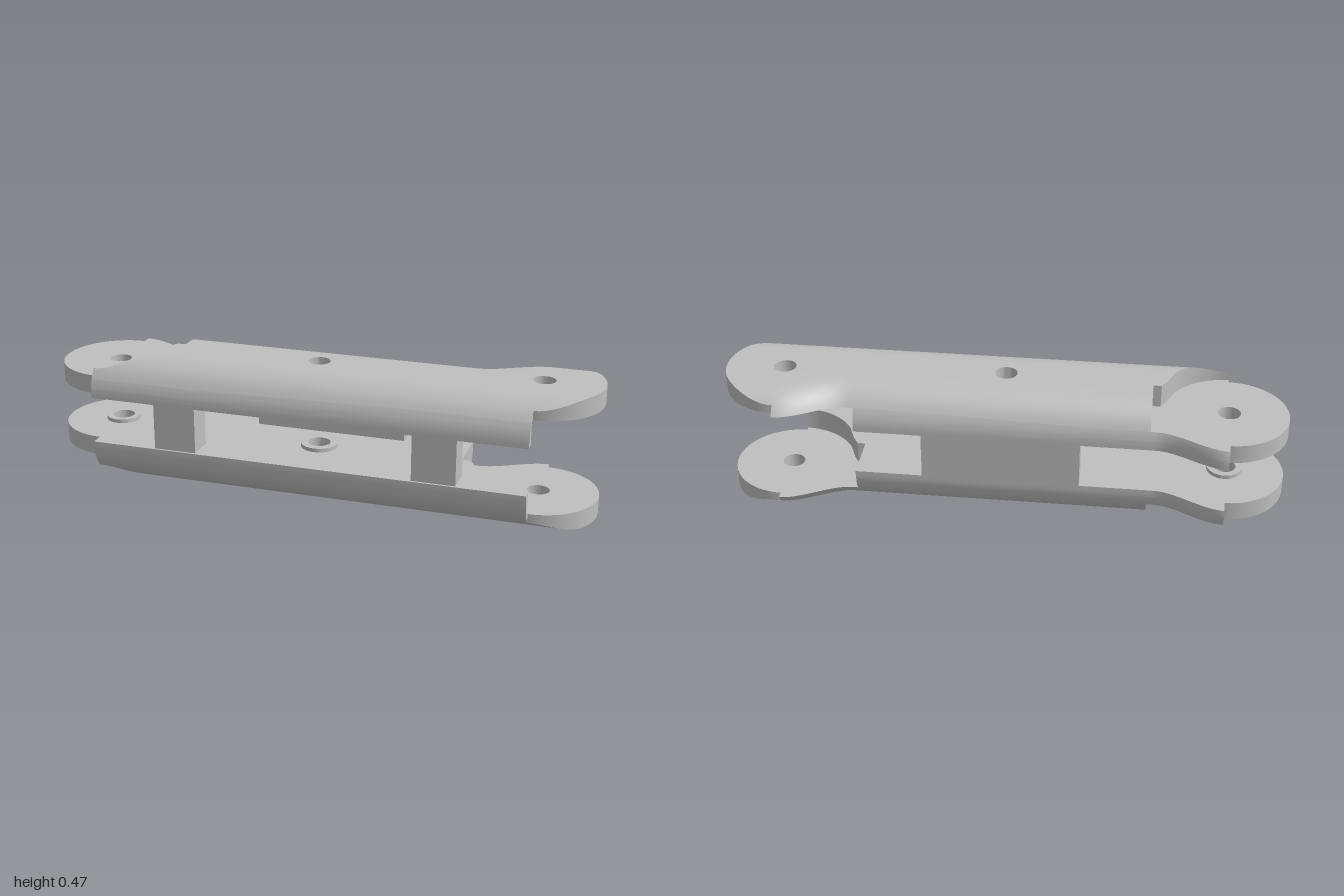
import * as THREE from 'three';
import { mergeGeometries, toCreasedNormals } from 'three/addons/utils/BufferGeometryUtils.js';

const HEIGHT = 0.475, INNER = 0.322;   // full height, inner face of the upper rail
const R = 0.14, CY = HEIGHT - R;       // edge rounding and its centre height
const FRONT = 0.257, PIN = 0.79, HOLE = 0.04, MID_Z = 0.042;

const clamp = THREE.MathUtils.clamp;
const arc = (x, cx, r) => Math.sqrt(Math.max(0, r * r - (x - cx) ** 2));

// Back edge of the body: straight in the middle, flaring at both ends
const back = x => -0.165 - 0.092 * THREE.MathUtils.smoothstep(Math.abs(x), 0.54, PIN);

// Height where the inner layer meets the outer layer
const split = x => THREE.MathUtils.lerp(0.39, 0.407, clamp((x + 0.4) / 0.8, 0, 1));

// Rounded outer surface
function surface(x, z) {
  const d = Math.max(0, z - (FRONT - R), back(x) + R - z);
  return CY + Math.sqrt(Math.max(0, R * R - d * d));
}

// Plan outline of a layer, lug at -x: [x0, x1, back z, front z, hole x, hole z]
const lug = x => arc(x, -PIN, 0.21);
const SEGMENTS = [
  [-1, -PIN - HOLE, x => -lug(x), lug],
  [-PIN - HOLE, -PIN, x => -lug(x), lug, -PIN, 0],
  [-PIN, -PIN + HOLE, back, () => FRONT, -PIN, 0],
  [-PIN + HOLE, -0.52, back, () => FRONT],
  [-0.52, -HOLE, back, () => FRONT],
  [-HOLE, HOLE, back, () => FRONT, 0, MID_Z],
  [HOLE, 0.52, back, () => FRONT],
  [0.52, PIN, x => Math.max(0.015, arc(x, PIN, 0.225)), () => FRONT],
];

// Closed cross-section at x, as points of a ring
function section(x, lo, hi, outer) {
  const g = split(x), base = outer ? g : INNER;
  const reach = Math.sqrt(R * R - Math.max(0, base - CY) ** 2);
  hi = Math.min(hi, FRONT - R + reach);
  lo = Math.min(hi, Math.max(lo, back(x) + R - reach));
  const cut = Math.acos((g - CY) / R);
  const [a0, a1] = outer ? [0, cut] : [cut, Math.PI / 2];
  const zs = [hi], n = 8;
  for (let i = n; i >= 0; i--) zs.push(FRONT - R + R * Math.sin(a0 + (a1 - a0) * i / n));
  for (let i = 0; i <= n; i++) zs.push(back(x) + R - R * Math.sin(a0 + (a1 - a0) * i / n));
  zs.push(lo);
  const ring = [[x, base, lo], [x, base, hi]];
  for (const z of zs) {
    const zc = clamp(z, lo, hi), h = surface(x, zc);
    ring.push([x, Math.max(base, outer ? h : Math.min(h, g)), zc]);
  }
  return ring.map(p => new THREE.Vector3(...p));
}

// Solid lofted through cross-sections between x0 and x1
function loft(x0, x1, lo, hi, outer, flip) {
  const N = 14, rings = [], pos = [];
  for (let i = 0; i <= N; i++) {
    const x = (x0 + x1) / 2 - (x1 - x0) / 2 * Math.cos(Math.PI * i / N);
    rings.push(section(x, lo(x), hi(x), outer));
  }
  const ab = new THREE.Vector3(), ac = new THREE.Vector3();
  const tri = (a, b, c) => {
    if (ab.subVectors(b, a).cross(ac.subVectors(c, a)).length() < 1e-10) return;
    for (const p of flip ? [a, c, b] : [a, b, c]) pos.push(p.x, flip ? HEIGHT - p.y : p.y, p.z);
  };
  const m = rings[0].length;
  for (let i = 0; i < N; i++) for (let j = 0; j < m; j++) {
    const k = (j + 1) % m, p = rings[i], q = rings[i + 1];
    tri(p[j], q[k], p[k]);
    tri(p[j], q[j], q[k]);
  }
  for (let j = 1; j < m - 1; j++) {
    tri(rings[0][0], rings[0][j], rings[0][j + 1]);
    tri(rings[N][0], rings[N][j + 1], rings[N][j]);
  }
  const geo = new THREE.BufferGeometry();
  geo.setAttribute('position', new THREE.Float32BufferAttribute(pos, 3));
  return geo;
}

// One layer of a rail; the outer layer is the same plan mirrored in x
function layer(outer, flip) {
  const s = outer ? -1 : 1, parts = [];
  for (const [a, b, lo, hi, hx, hz] of SEGMENTS) {
    const x0 = outer ? -b : a, x1 = outer ? -a : b;
    const low = x => lo(s * x), high = x => hi(s * x);
    if (hx === undefined) parts.push(loft(x0, x1, low, high, outer, flip));
    else {
      parts.push(loft(x0, x1, low, x => hz - arc(s * x, hx, HOLE), outer, flip));
      parts.push(loft(x0, x1, x => hz + arc(s * x, hx, HOLE), high, outer, flip));
    }
  }
  return toCreasedNormals(mergeGeometries(parts), 0.6);
}

// Raised washer around a hole
function washer(r) {
  const h = 0.014;
  const pts = [[HOLE, 0], [r, 0], [r, h], [HOLE, h], [HOLE, 0]].map(p => new THREE.Vector2(...p));
  return toCreasedNormals(new THREE.LatheGeometry(pts, 40), 0.6);
}

export function createModel() {
  const model = new THREE.Group();
  model.name = 'linkArm';
  const grey = new THREE.MeshStandardMaterial({ color: 0xbfbfbf });
  grey.name = 'light grey';
  const add = (parent, name, geo, x = 0, y = 0, z = 0) => {
    const mesh = new THREE.Mesh(geo, grey);
    mesh.name = name;
    mesh.position.set(x, y, z);
    parent.add(mesh);
  };

  // Two mirrored rails with lugs and washers
  for (const flip of [false, true]) {
    const rail = new THREE.Group();
    rail.name = flip ? 'lowerRail' : 'upperRail';
    add(rail, 'innerLayer', layer(false, flip));
    add(rail, 'outerLayer', layer(true, flip));
    const y = flip ? HEIGHT - INNER : INNER - 0.014;
    add(rail, 'pivotWasher', washer(0.063), -PIN, y, 0);
    add(rail, 'middleWasher', washer(0.067), 0, y, MID_Z);
    model.add(rail);
  }

  // Spacers joining the rails
  const gap = 2 * INNER - HEIGHT + 0.004;
  for (const x of [-0.475, 0.47])
    add(model, 'frontPost', new THREE.BoxGeometry(0.155, gap, 0.1), x, HEIGHT / 2, 0.199);
  add(model, 'backWall', new THREE.BoxGeometry(0.56, gap, 0.074), 0, HEIGHT / 2, -0.128);
  return model;
}
